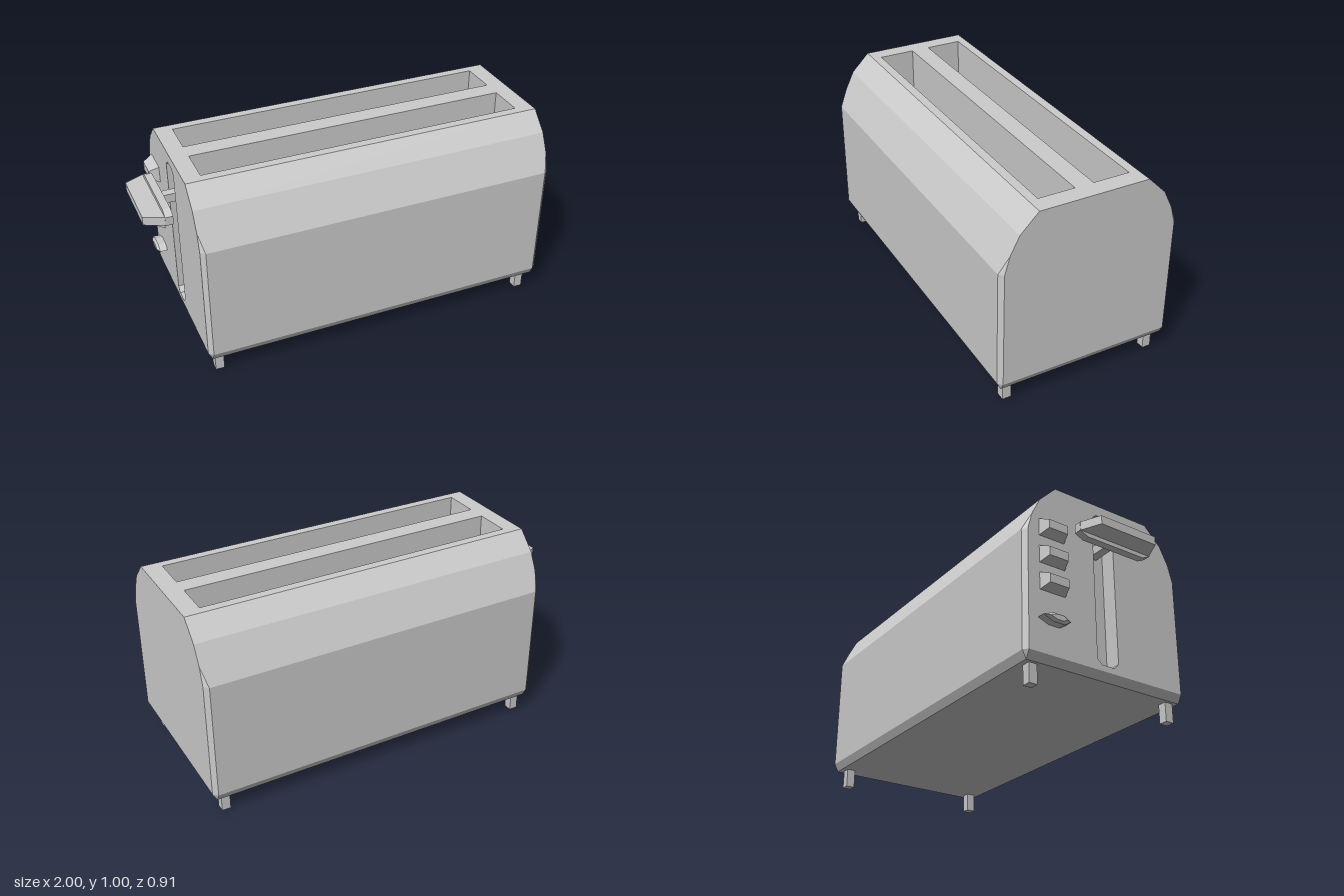
import * as THREE from 'three';
import { mergeGeometries } from 'three/addons/utils/BufferGeometryUtils.js';
import { ConvexGeometry } from 'three/addons/geometries/ConvexGeometry.js';

const V = (x, y, z) => new THREE.Vector3(x, y, z);
const X0 = -0.815, X1 = 1; // ends of the body

// Non-indexed flat geometry from a list of triangle corners
function fromPoints(points) {
  const g = new THREE.BufferGeometry().setFromPoints(points);
  g.computeVertexNormals();
  return g;
}

// Planar face with holes; project maps a corner to 2D, normal sets the facing
function panel(outer, holes, project, normal) {
  const all = [...outer, ...holes.flat()], out = [];
  const tris = THREE.ShapeUtils.triangulateShape(outer.map(project), holes.map(h => h.map(project)));
  for (const [i, j, k] of tris) {
    const [a, b, c] = [all[i], all[j], all[k]];
    const n = b.clone().sub(a).cross(c.clone().sub(a));
    out.push(...(n.dot(normal) > 0 ? [a, b, c] : [a, c, b]));
  }
  return fromPoints(out);
}

// Inner walls and floor of a pocket; loop is counter-clockwise seen from outside
function recess(loop, depth) {
  const deep = loop.map(p => p.clone().add(depth)), out = [];
  loop.forEach((a, i) => {
    const j = (i + 1) % loop.length;
    out.push(a, loop[j], deep[j], a, deep[j], deep[i]);
    if (i > 0 && i < loop.length - 1) out.push(deep[0], deep[i], deep[j]);
  });
  return fromPoints(out);
}

// Convex shell without the triangles that face one of the open directions
function openShell(points, openings) {
  const p = new ConvexGeometry(points).getAttribute('position'), out = [];
  for (let i = 0; i < p.count; i += 3) {
    const t = [0, 1, 2].map(k => new THREE.Vector3().fromBufferAttribute(p, i + k));
    const n = new THREE.Triangle(...t).getNormal(V(0, 0, 0));
    if (!openings.some(o => o.dot(n) > 0.999)) out.push(...t);
  }
  return fromPoints(out);
}

export function createModel() {
  const model = new THREE.Group();
  model.name = 'toaster';
  const material = new THREE.MeshStandardMaterial({ color: 0xcccccc, flatShading: true });
  const add = (name, geometry, parent = model) => {
    const mesh = new THREE.Mesh(geometry, material);
    mesh.name = name;
    parent.add(mesh);
    return mesh;
  };

  // Body shell: end outline plus a slightly inset ring that bevels the corners
  const endProfile = [[0.435, 0.135], [0.435, 0.73], [0.41, 0.82], [0.365, 0.91], [0.275, 1]];
  const bevelProfile = [[0.435, 0.095], [0.455, 0.135], [0.455, 0.73]];
  const points = [];
  for (const [end, inset] of [[X0, X0 + 0.022], [X1, X1 - 0.022]])
    for (const s of [-1, 1]) {
      endProfile.forEach(([z, y]) => points.push(V(end, y, s * z)));
      bevelProfile.forEach(([z, y]) => points.push(V(inset, y, s * z)));
    }
  const up = V(0, 1, 0), leverSide = V(-1, 0, 0);
  const shell = openShell(points, [up, leverSide]);

  // Top panel with two bread slots
  const slots = [[-0.23, -0.047], [0.047, 0.23]].map(([a, b]) =>
    [V(-0.73, 1, a), V(-0.73, 1, b), V(0.91, 1, b), V(0.91, 1, a)]);
  const top = [V(X0, 1, -0.275), V(X0, 1, 0.275), V(X1, 1, 0.275), V(X1, 1, -0.275)];
  const topPanel = panel(top, slots, p => new THREE.Vector2(p.x, p.z), up);

  // End panel with the lever groove
  const groove = [[-0.035, 0.165], [0.035, 0.165], [0.06, 0.19], [0.06, 0.92],
    [0.035, 0.945], [-0.035, 0.945], [-0.06, 0.92], [-0.06, 0.19]].map(([z, y]) => V(X0, y, z));
  const end = [...endProfile.map(([z, y]) => V(X0, y, z)),
    ...endProfile.map(([z, y]) => V(X0, y, -z)).reverse()];
  const endPanel = panel(end, [groove], p => new THREE.Vector2(p.z, p.y), leverSide);

  add('body', mergeGeometries([shell, topPanel, endPanel]));
  slots.forEach(s => add('breadSlot', recess(s, V(0, -0.7, 0))));
  add('leverGroove', recess(groove, V(0.08, 0, 0)));

  // Lever: stem, bevelled bar and tapered grip
  const lever = new THREE.Group();
  lever.name = 'lever';
  model.add(lever);
  add('leverStem', new THREE.BoxGeometry(0.145, 0.045, 0.044), lever).position.set(-0.805, 0.778, 0);
  const bar = [], grip = [];
  for (const s of [-1, 1])
    for (const t of [-1, 1]) {
      for (const x of [-0.905, -0.867])
        bar.push(V(x, 0.778 + t * 0.022, s * 0.207), V(x, 0.778 + t * 0.043, s * 0.165));
      grip.push(V(-0.9, 0.778 + t * 0.022, s * 0.207), V(-1, 0.778 + t * 0.022, s * 0.16));
    }
  add('leverBar', new ConvexGeometry(bar), lever);
  add('leverGrip', new ConvexGeometry(grip), lever);

  // Push buttons: tapered blocks
  for (const y of [0.76, 0.62, 0.483]) {
    const block = [];
    for (const s of [-1, 1])
      for (const t of [-1, 1])
        block.push(V(X0 + 0.005, y + s * 0.045, -0.303 + t * 0.072), V(-0.865, y + s * 0.022, -0.3 + t * 0.052));
    add('button', new ConvexGeometry(block));
  }

  // Small pointed dial under the buttons
  const dial = [];
  for (const [x, k] of [[X0 + 0.005, 1], [-0.853, 1], [-0.865, 0.6]])
    dial.push(V(x, 0.3, -0.305 - 0.08 * k), V(x, 0.3, -0.305 + 0.07 * k),
      ...[-1, 1].flatMap(s => [-1, 1].map(t => V(x, 0.3 + s * 0.022 * k, -0.3 + t * 0.03 * k))));
  add('dial', new ConvexGeometry(dial));

  // Feet
  for (const x of [-0.755, 0.928])
    for (const z of [-0.388, 0.388])
      add('foot', new THREE.BoxGeometry(0.044, 0.1, 0.044)).position.set(x, 0.05, z);

  return model;
}
